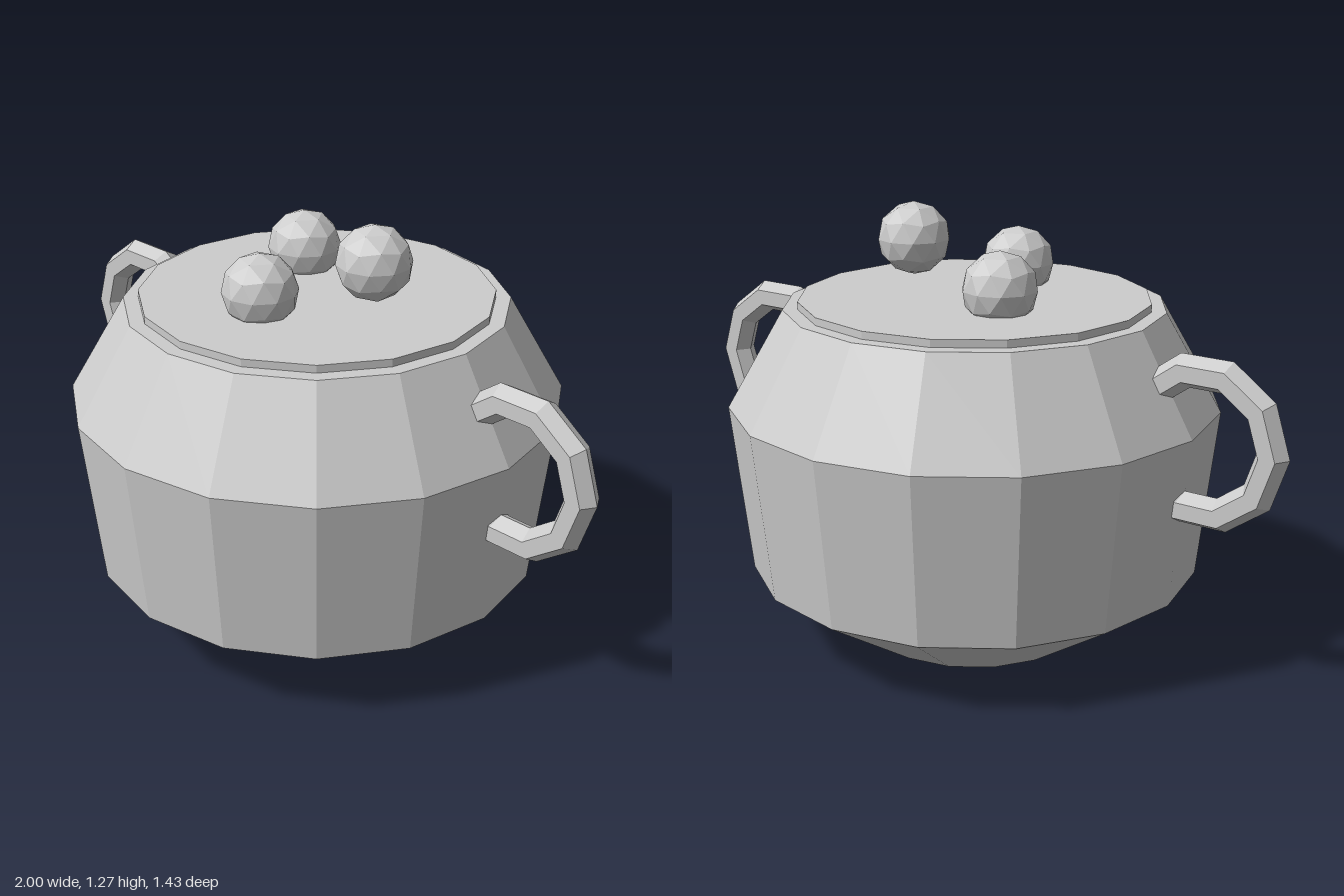
import * as THREE from 'three';

export function createModel() {
  const model = new THREE.Group();
  model.name = 'pot';
  const grey = new THREE.MeshStandardMaterial({ color: 0xcccccc, flatShading: true });
  grey.name = 'grey';

  const add = (name, geometry, x = 0, y = 0, z = 0) => {
    const mesh = new THREE.Mesh(geometry, grey);
    mesh.name = name;
    mesh.position.set(x, y, z);
    model.add(mesh);
    return mesh;
  };

  // Sixteen-sided pot with tapered base and shoulder
  const profile = [[0, 0], [0.33, 0], [0.664, 0.222], [0.717, 0.72], [0.553, 1], [0, 1]];
  add('body', new THREE.LatheGeometry(profile.map(([r, y]) => new THREE.Vector2(r, y)), 16));

  // Thin lid disc
  add('lid', new THREE.CylinderGeometry(0.51, 0.51, 0.03, 16), 0, 1.007, 0);

  // Ring handles sunk into the sides
  for (const [name, side] of [['leftHandle', 1], ['rightHandle', -1]]) {
    const ring = add(name, new THREE.TorusGeometry(0.202, 0.048, 6, 10), side * 0.75, 0.72, 0);
    if (side < 0) ring.rotation.y = Math.PI;
  }

  // Faceted balls on the lid, each with a corner pointing straight up
  const ball = new THREE.IcosahedronGeometry(0.108, 1);
  ball.rotateX(-Math.atan((1 + Math.sqrt(5)) / 2)).rotateY(Math.PI / 2);
  add('frontBall', ball, 0, 1.083, 0.22);
  add('backBall', ball, -0.167, 1.083, -0.115);
  add('raisedBall', ball, 0.22, 1.165, 0);

  return model;
}
